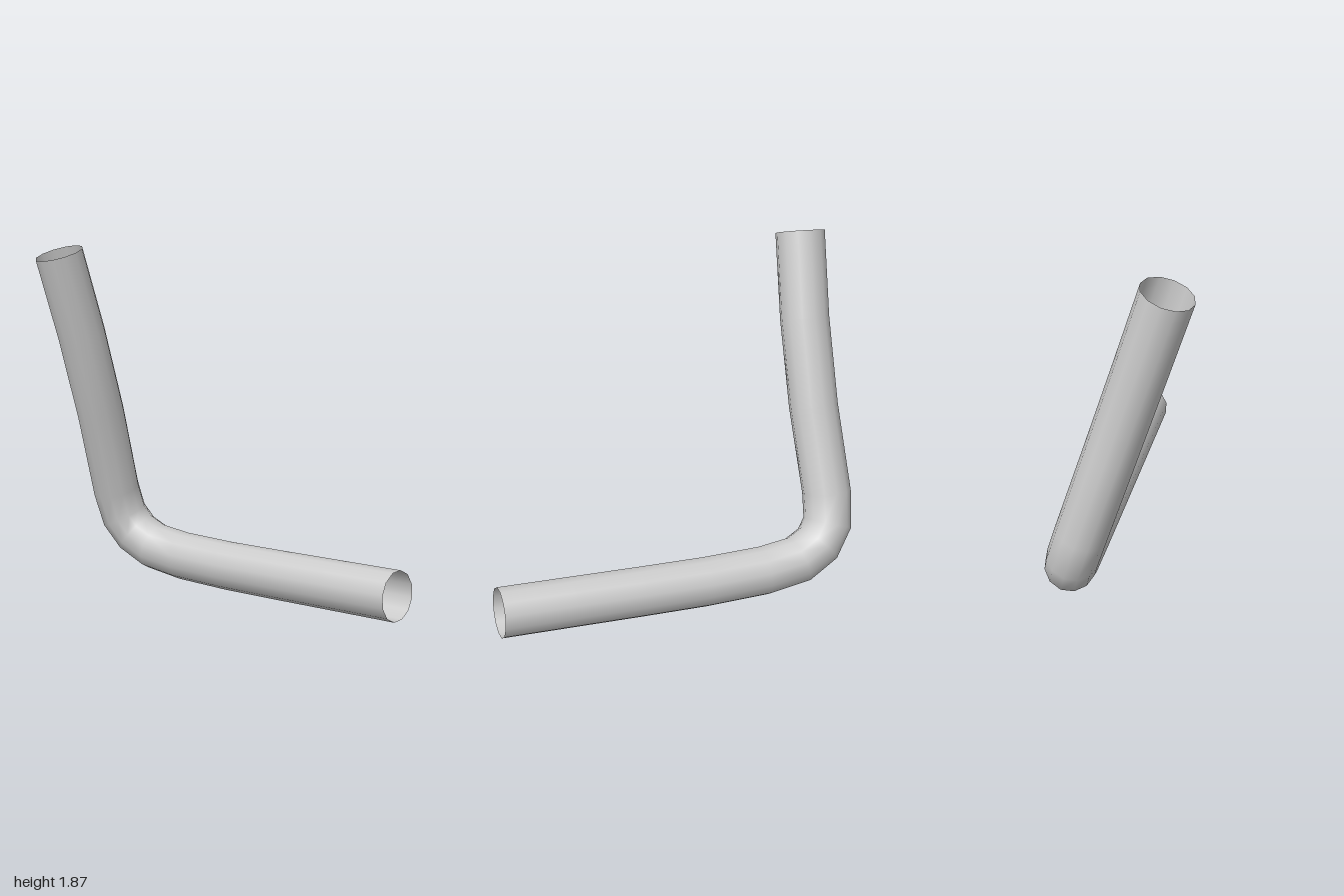
import * as THREE from 'three';

// Curve whose rings fall exactly on its control points, so the bend gets denser rings
class PipePath extends THREE.CatmullRomCurve3 {
  getUtoTmapping(u) { return u; }
}

export function createModel() {
  const group = new THREE.Group();
  group.name = 'bentPipe';

  // Centre line (x, y), from the upright end to the horizontal end
  const line = [
    [-0.86, 1.84], [-0.838, 1.4], [-0.84, 0.95], [-0.868, 0.495],
    [-0.855, 0.335], [-0.785, 0.235], [-0.66, 0.170], [-0.45, 0.144],
    [-0.12, 0.139], [0.25, 0.146], [0.62, 0.155], [1, 0.164],
  ];
  // The whole bend lies in a plane leaning forward
  const points = line.map(([x, y]) => new THREE.Vector3(x, y, -0.262 + (y - 0.15) * 0.317));

  const path = new PipePath(points);
  const pipe = new THREE.Mesh(
    new THREE.TubeGeometry(path, points.length - 1, 0.132, 12, false),
    new THREE.MeshStandardMaterial({ color: 0xcccccc, side: THREE.DoubleSide }),
  );
  pipe.name = 'pipe';
  group.add(pipe);
  return group;
}
